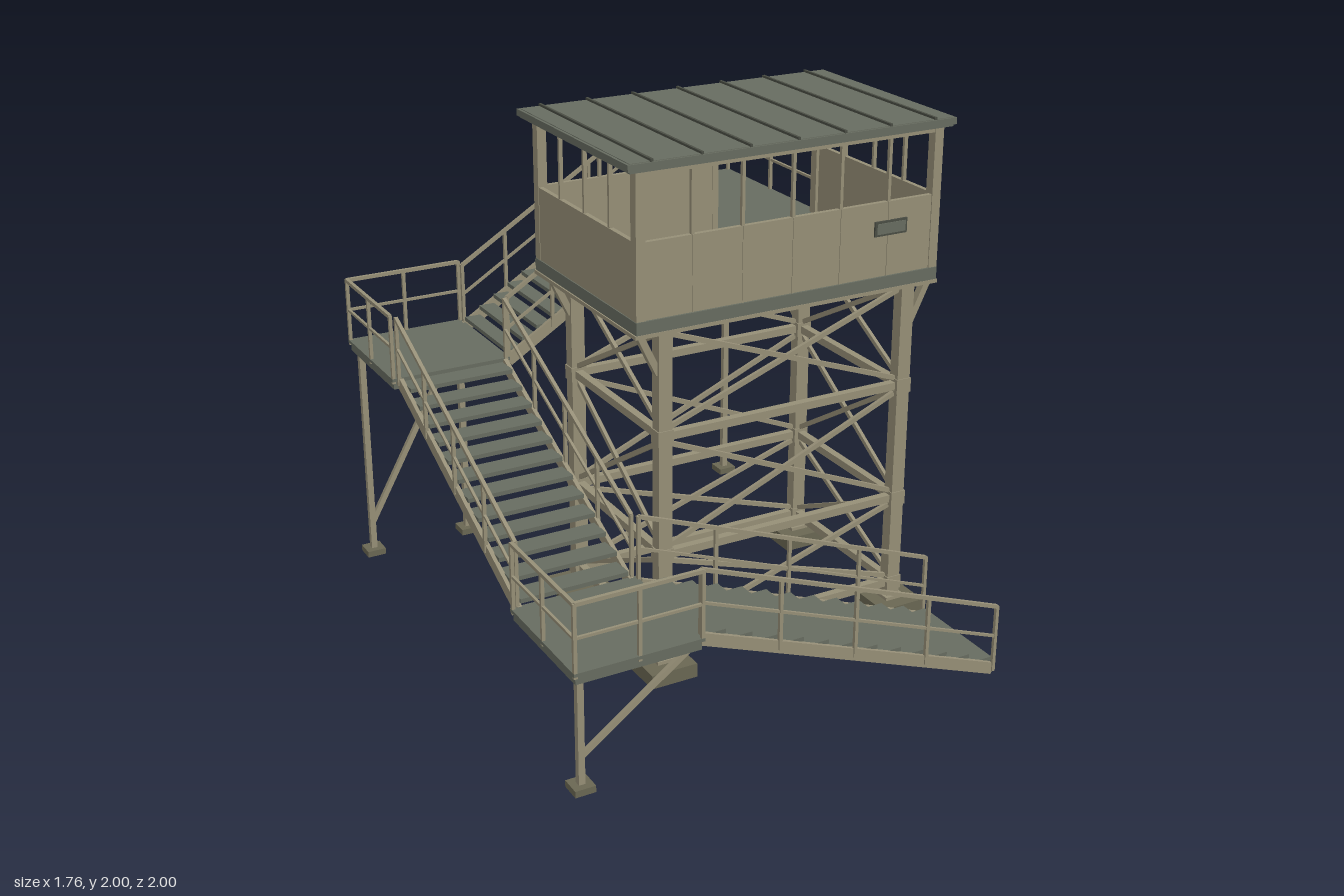
import * as THREE from 'three';

const mat = (name, color) => Object.assign(new THREE.MeshStandardMaterial({ color }), { name });

export function createModel() {
  const tan = mat('tanSteel', 0x968f77);
  const dark = mat('darkGreenGrey', 0x676c60);
  const concrete = mat('footingGrey', 0x6a6753);
  const plateDark = mat('plateDark', 0x4a4d44);
  const model = new THREE.Group();
  model.name = 'watchtower';

  const group = (name) => {
    const g = new THREE.Group();
    g.name = name;
    model.add(g);
    return g;
  };
  // Axis-aligned box from its min and max corners
  const box = (g, name, m, x0, x1, y0, y1, z0, z1) => {
    const b = new THREE.Mesh(new THREE.BoxGeometry(x1 - x0, y1 - y0, z1 - z0), m);
    b.position.set((x0 + x1) / 2, (y0 + y1) / 2, (z0 + z1) / 2);
    b.name = name;
    g.add(b);
  };
  // Straight bar between two points
  const bar = (g, name, m, a, b, w, h = w) => {
    const p = new THREE.Vector3(...a), q = new THREE.Vector3(...b);
    const s = new THREE.Mesh(new THREE.BoxGeometry(w, h, p.distanceTo(q)), m);
    s.position.copy(p).add(q).multiplyScalar(0.5);
    s.lookAt(q);
    s.name = name;
    g.add(s);
  };
  const lerp = (a, b, t) => a.map((v, i) => v + (b[i] - v) * t);
  const up = (p, d) => [p[0], p[1] + d, p[2]];
  // Guard rail along a floor line: posts, mid rail and top rail
  const railing = (g, a, b, spans) => {
    for (let i = 0; i <= spans; i++) {
      const p = lerp(a, b, i / spans);
      bar(g, 'railPost', tan, up(p, -0.02), up(p, 0.25), 0.013);
    }
    bar(g, 'topRail', tan, up(a, 0.247), up(b, 0.247), 0.014);
    bar(g, 'midRail', tan, up(a, 0.125), up(b, 0.125), 0.01);
  };
  const footing = (g, x, z, r, y0, y1) => box(g, 'footing', concrete, x - r, x + r, y0, y1, z - r, z + r);

  // Tower legs on footings
  const tower = group('tower');
  const X = [-0.25, 0.75], Z = [-0.25, 0.43];
  for (const x of X) for (const z of Z) {
    footing(tower, x, z, 0.093, 0.04, 0.095);
    box(tower, 'basePlate', tan, x - 0.04, x + 0.04, 0.095, 0.108, z - 0.04, z + 0.04);
    box(tower, 'towerLeg', tan, x - 0.027, x + 0.027, 0.1, 1.385, z - 0.024, z + 0.024);
    for (const y of [0.16, 0.52, 0.98])
      box(tower, 'gusset', tan, x - 0.031, x + 0.031, y - 0.028, y + 0.028, z - 0.028, z + 0.028);
    // Knee braces under the cabin
    const s = x < 0 ? -1 : 1;
    bar(tower, 'kneeBrace', tan, [x + s * 0.02, 1.22, z], [x + s * 0.1, 1.385, z], 0.03, 0.025);
  }
  // Horizontal girts and cross bracing on all four sides
  const sides = [
    [[X[0], Z[0]], [X[1], Z[0]]], [[X[0], Z[1]], [X[1], Z[1]]],
    [[X[0], Z[0]], [X[0], Z[1]]], [[X[1], Z[0]], [X[1], Z[1]]],
  ];
  const levels = [0.16, 0.52, 0.98, 1.385];
  for (const [[ax, az], [bx, bz]] of sides) levels.forEach((y, i) => {
    if (i < 3) {
      bar(tower, 'girt', tan, [ax, y, az], [bx, y, bz], 0.03);
      const lo = y + 0.02, hi = levels[i + 1] - 0.02;
      bar(tower, 'crossBrace', tan, [ax, lo, az], [bx, hi, bz], 0.014, 0.018);
      bar(tower, 'crossBrace', tan, [ax, hi, az], [bx, lo, bz], 0.014, 0.018);
    }
  });

  // Cabin floor
  const cabin = group('cabin');
  box(cabin, 'floorFlange', tan, -0.385, 0.85, 1.378, 1.392, -0.305, 0.49);
  box(cabin, 'floorUnderside', dark, -0.36, 0.83, 1.372, 1.38, -0.28, 0.47);
  box(cabin, 'floor', dark, -0.38, 0.846, 1.392, 1.438, -0.302, 0.488);
  // Half-height walls, with a doorway at the back left
  const y0 = 1.436, y1 = 1.712;
  box(cabin, 'frontWall', tan, -0.37, 0.84, y0, y1, 0.462, 0.48);
  box(cabin, 'rightWall', tan, -0.376, -0.358, y0, y1, -0.29, 0.475);
  box(cabin, 'leftWall', tan, 0.824, 0.842, y0, y1, -0.29, 0.475);
  box(cabin, 'backWall', tan, -0.37, 0.37, y0, y1, -0.3, -0.282);
  for (const x of [-0.16, 0.035, 0.235, 0.43, 0.63]) {
    box(cabin, 'wallSeam', tan, x - 0.003, x + 0.003, y0, y1, 0.48, 0.483);
    box(cabin, 'frontMullion', tan, x - 0.006, x + 0.006, y1, 1.95, 0.464, 0.478);
  }
  for (const x of [-0.12, 0.07, 0.25])
    box(cabin, 'backMullion', tan, x - 0.006, x + 0.006, y1, 1.95, -0.298, -0.284);
  box(cabin, 'doorJamb', tan, 0.355, 0.38, y0, 1.95, -0.302, -0.28);
  for (const x of [-0.367, 0.833]) for (const z of [-0.1, 0.09, 0.28])
    box(cabin, 'sideMullion', tan, x - 0.007, x + 0.007, y1, 1.95, z - 0.006, z + 0.006);
  for (const x of [-0.36, 0.83]) for (const z of [-0.285, 0.465])
    box(cabin, 'cornerPost', tan, x - 0.018, x + 0.018, y0, 1.955, z - 0.019, z + 0.019);
  // Head beams
  for (const z of [-0.29, 0.47]) box(cabin, 'headBeam', tan, -0.375, 0.845, 1.938, 1.96, z - 0.012, z + 0.012);
  for (const x of [-0.365, 0.833]) box(cabin, 'headBeam', tan, x - 0.012, x + 0.012, 1.938, 1.96, -0.29, 0.47);
  // Blank wall plate
  box(cabin, 'wallPlateFrame', plateDark, 0.57, 0.706, 1.59, 1.645, 0.48, 0.487);
  box(cabin, 'wallPlate', dark, 0.578, 0.698, 1.598, 1.637, 0.487, 0.49);

  // Roof with standing seams
  const roof = group('roof');
  box(roof, 'roofSlab', dark, -0.41, 0.872, 1.958, 1.992, -0.335, 0.505);
  box(roof, 'roofFascia', dark, -0.42, 0.88, 1.966, 1.99, -0.342, 0.512);
  for (let i = 0; i < 7; i++) {
    const x = -0.33 + i * 0.187;
    box(roof, 'roofSeam', plateDark, x - 0.005, x + 0.005, 1.99, 2, -0.338, 0.508);
  }

  // Landings: deck with fascia
  const landing = (name, xa, xb, za, zb, top) => {
    const g = group(name);
    box(g, 'deck', dark, xa, xb, top - 0.012, top, za, zb);
    box(g, 'deckFrame', dark, xa + 0.008, xb - 0.008, top - 0.045, top - 0.01, za + 0.008, zb - 0.008);
    return g;
  };
  const post = (g, x, z, top) => {
    footing(g, x, z, 0.038, 0.045, 0.07);
    box(g, 'supportPost', tan, x - 0.012, x + 0.012, 0.06, top, z - 0.012, z + 0.012);
  };

  const lower = landing('lowerLanding', -0.88, -0.4, 0.51, 1, 0.51);
  railing(lower, [-0.873, 0.51, 0.993], [-0.407, 0.51, 0.993], 2);
  railing(lower, [-0.873, 0.51, 0.52], [-0.873, 0.51, 0.993], 2);
  post(lower, -0.845, 0.96, 0.48);
  bar(lower, 'landingBrace', tan, [-0.845, 0.17, 0.96], [-0.42, 0.475, 0.96], 0.016, 0.02);

  const middle = landing('middleLanding', -0.88, -0.4, -1, -0.52, 0.975);
  railing(middle, [-0.873, 0.975, -0.993], [-0.407, 0.975, -0.993], 2);
  railing(middle, [-0.873, 0.975, -0.993], [-0.873, 0.975, -0.527], 2);
  post(middle, -0.845, -0.96, 0.94);
  post(middle, -0.43, -0.96, 0.94);
  bar(middle, 'landingBrace', tan, [-0.845, 0.18, -0.96], [-0.43, 0.93, -0.96], 0.018, 0.022);

  const upper = landing('upperPlatform', 0.36, 0.85, -1, -0.295, 1.437);
  railing(upper, [0.367, 1.437, -0.993], [0.843, 1.437, -0.993], 2);
  railing(upper, [0.843, 1.437, -0.993], [0.843, 1.437, -0.31], 2);
  railing(upper, [0.367, 1.437, -0.53], [0.367, 1.437, -0.31], 2);
  post(upper, 0.82, -0.96, 1.4);
  bar(upper, 'platformBrace', tan, [0.76, 0.98, -0.26], [0.815, 1.38, -0.95], 0.018, 0.022);

  // Stair flight: a and b are the low and high ends on the centre line
  const flight = (name, a, b, steps) => {
    const g = group(name);
    const alongX = a[2] === b[2];
    const off = (p, d) => (alongX ? [p[0], p[1], p[2] + d] : [p[0] + d, p[1], p[2]]);
    const run = Math.abs(alongX ? b[0] - a[0] : b[2] - a[2]) / steps;
    for (const d of [-0.212, 0.212]) {
      bar(g, 'stringer', tan, off(a, d), off(b, d), 0.016, 0.045);
      railing(g, up(off(a, d * 1.03), 0.012), up(off(b, d * 1.03), 0.012), 4);
    }
    for (let i = 0; i < steps; i++) {
      const [x, y, z] = lerp(a, b, (i + 0.5) / steps);
      const hx = alongX ? run * 0.51 : 0.206, hz = alongX ? 0.206 : run * 0.51;
      box(g, 'tread', dark, x - hx, x + hx, y + 0.008, y + 0.024, z - hz, z + hz);
    }
  };
  flight('lowerFlight', [0.84, 0.022, 0.75], [-0.4, 0.49, 0.75], 12);
  flight('middleFlight', [-0.635, 0.49, 0.51], [-0.635, 0.955, -0.52], 12);
  flight('upperFlight', [-0.4, 0.955, -0.75], [0.36, 1.42, -0.75], 12);

  return model;
}
